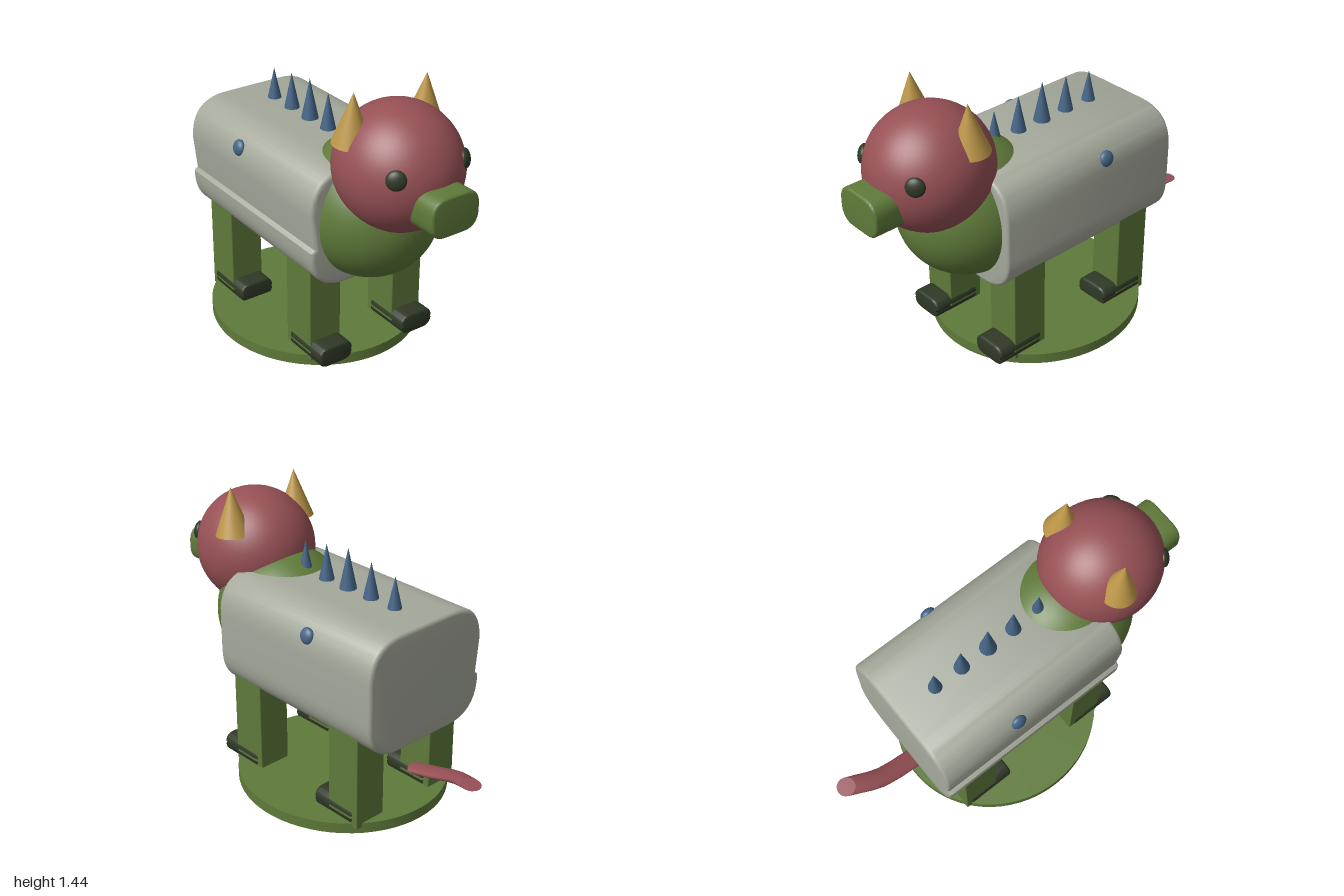
import * as THREE from 'three';
import { toCreasedNormals } from 'three/addons/utils/BufferGeometryUtils.js';
import { RoundedBoxGeometry } from 'three/addons/geometries/RoundedBoxGeometry.js';

const mat = (name, color, extra = {}) => {
  const m = new THREE.MeshStandardMaterial({ color, ...extra });
  m.name = name;
  return m;
};

// Rounded bar running along z, centred on the origin; groove cuts a step into its -x side
function roundedBar(w, h, d, r, bevel, groove = false) {
  const x = w / 2 - bevel, y = h / 2 - bevel;
  const s = new THREE.Shape();
  s.moveTo(-x, -y + r);
  s.quadraticCurveTo(-x, -y, -x + r, -y);
  s.lineTo(x - r, -y);
  s.quadraticCurveTo(x, -y, x, -y + r);
  s.lineTo(x, y - r);
  s.quadraticCurveTo(x, y, x - r, y);
  s.lineTo(-x + r, y);
  s.quadraticCurveTo(-x, y, -x, y - r);
  if (groove) s.lineTo(-x + 0.02, -y + r + 0.015);
  const g = new THREE.ExtrudeGeometry(s, {
    depth: d - 2 * bevel, bevelThickness: bevel, bevelSize: bevel, bevelSegments: 4, curveSegments: 12,
  });
  g.translate(0, 0, bevel - d / 2);
  return toCreasedNormals(g, 0.6);
}

// Tube swept through tilted oval sections: [centre x, y, z, half width, section rise, section depth]
function sweptTail(sections, sides = 16) {
  const rings = [sections[0], ...sections, sections[sections.length - 1]];
  const pos = [], idx = [];
  for (const [x, y, z, w, rise, depth] of rings) {
    for (let i = 0; i < sides; i++) {
      const a = (i / sides) * Math.PI * 2;
      pos.push(x + w * Math.cos(a), y + rise * Math.sin(a), z + depth * Math.sin(a));
    }
  }
  for (let k = 1; k < rings.length - 2; k++) {
    for (let i = 0; i < sides; i++) {
      const a = k * sides + i, b = k * sides + (i + 1) % sides;
      idx.push(a, a + sides, b, b, a + sides, b + sides);
    }
  }
  const last = (rings.length - 1) * sides;
  for (let i = 1; i < sides - 1; i++) {
    idx.push(0, i, i + 1, last, last + i + 1, last + i);
  }
  const g = new THREE.BufferGeometry();
  g.setAttribute('position', new THREE.Float32BufferAttribute(pos, 3));
  g.setIndex(idx);
  g.computeVertexNormals();
  return g;
}

export function createModel() {
  const model = new THREE.Group();
  model.name = 'hornedBeast';

  const green = mat('mossGreen', 0x5f7a3a);
  const grey = mat('stoneGrey', 0xa6aa9c);
  const red = mat('dustyRed', 0x965055, { side: THREE.DoubleSide });
  const gold = mat('hornGold', 0xbd9748);
  const blue = mat('slateBlue', 0x456587);
  const dark = mat('darkOlive', 0x2f3826);

  const add = (name, geo, material, x, y, z) => {
    const m = new THREE.Mesh(geo, material);
    m.name = name;
    m.position.set(x, y, z);
    model.add(m);
    return m;
  };
  const ball = (rx, ry, rz) => new THREE.SphereGeometry(1, 48, 32).scale(rx, ry, rz);

  // Stand
  add('base', new THREE.CylinderGeometry(1, 1, 0.055, 64).scale(0.52, 1, 0.55), green, 0, 0.0275, -0.045);

  // Body, chest and head
  add('body', roundedBar(0.73, 0.598, 1.064, 0.18, 0.02, true), grey, 0, 0.749, -0.075);
  add('chest', ball(0.33, 0.34, 0.36), green, 0, 0.78, 0.385);
  add('head', ball(0.295, 0.302, 0.31), red, 0, 1.07, 0.602);
  add('muzzle', roundedBar(0.262, 0.192, 0.22, 0.07, 0.012), green, 0, 0.991, 0.89);

  // Paired parts
  const legGeo = new RoundedBoxGeometry(0.176, 0.5, 0.195, 2, 0.006);
  const footGeo = roundedBar(0.19, 0.103, 0.258, 0.04, 0.012);
  const hornGeo = new THREE.ConeGeometry(0.09, 0.24, 32);
  const eyeGeo = ball(0.046, 0.046, 0.024);
  const spotGeo = ball(0.024, 0.04, 0.04);
  for (const [side, s] of [['left', 1], ['right', -1]]) {
    for (const [end, z] of [['Front', 0.297], ['Back', -0.398]]) {
      add(side + end + 'Leg', legGeo, green, s * 0.245, 0.28, z);
      add(side + end + 'Foot', footGeo, dark, s * 0.245, 0.0865, z + 0.062);
    }
    const horn = add(side + 'Horn', hornGeo, gold, s * 0.202, 1.321, 0.53);
    horn.rotation.x = 0.06;

    // Eyes lie flat against the head
    const eye = add(side + 'Eye', eyeGeo, dark, s * 0.19, 1.137, 0.825);
    eye.rotation.set(-0.2, s * 0.7, 0, 'YXZ');

    add(side + 'Spot', spotGeo, blue, s * 0.346, 0.945, -0.175).rotation.z = s * 0.25;
  }

  // Back spikes: [z, tip height, radius]
  const spikes = [[0.22, 1.206, 0.038], [0.07, 1.23, 0.042], [-0.08, 1.252, 0.046],
    [-0.235, 1.23, 0.042], [-0.39, 1.206, 0.038]];
  spikes.forEach(([z, tip, r], i) => {
    const h = tip - 1.03;
    add('spike' + (i + 1), new THREE.ConeGeometry(r, h, 16), blue, 0, 1.03 + h / 2, z);
  });

  // Tail
  add('tail', sweptTail([
    [0, 0.264, -0.56, 0.052, 0.011, 0.036],
    [0, 0.298, -0.69, 0.052, 0.011, 0.037],
    [0.004, 0.326, -0.775, 0.052, 0.01, 0.04],
    [0.018, 0.348, -0.835, 0.051, 0.009, 0.043],
    [0.038, 0.367, -0.89, 0.05, 0.007, 0.046],
    [0.06, 0.384, -0.95, 0.049, 0.005, 0.048],
  ]), red, 0, 0, 0);

  return model;
}
